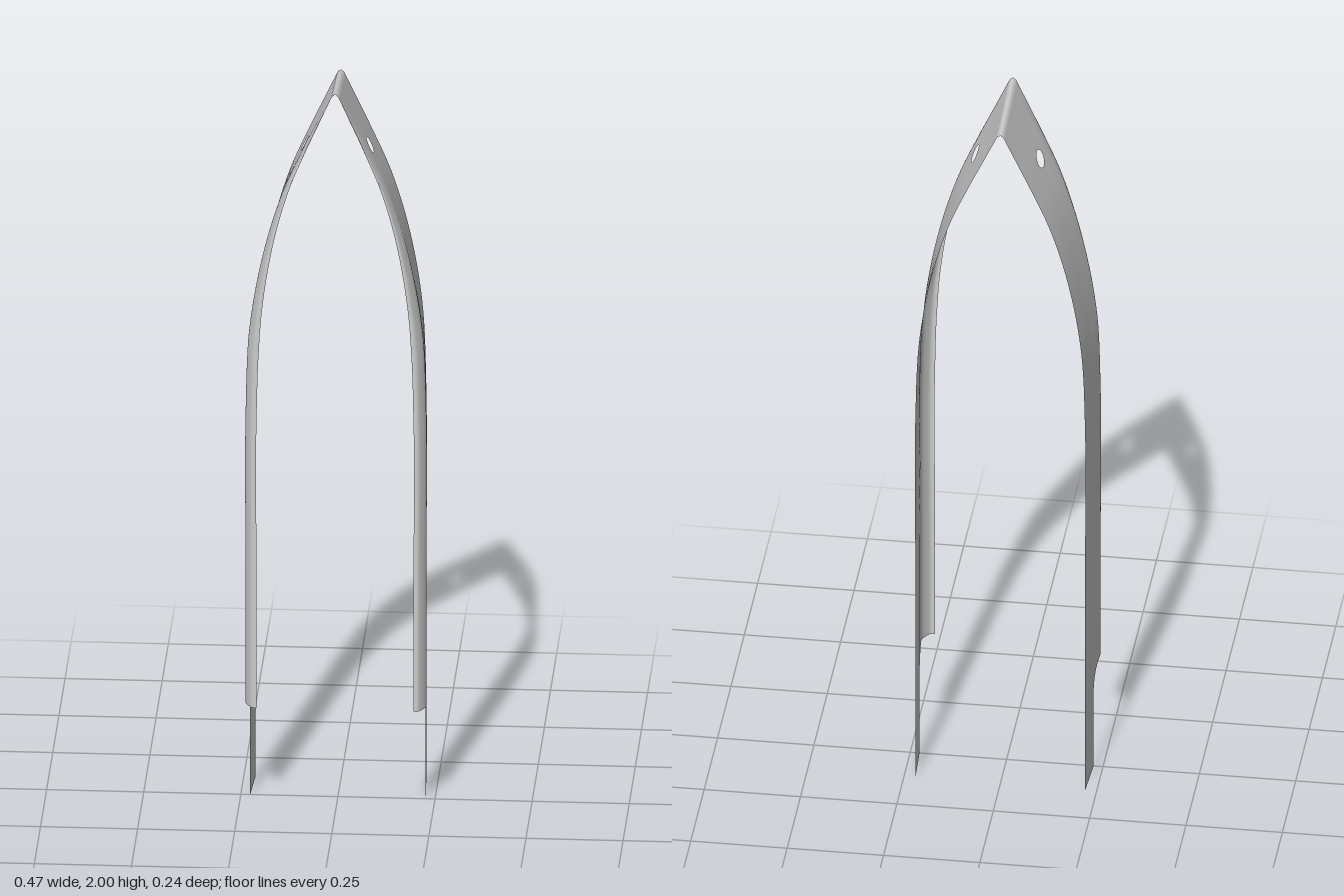
import * as THREE from 'three';
import { mergeGeometries, mergeVertices } from 'three/addons/utils/BufferGeometryUtils.js';

const vec = ([x, y]) => new THREE.Vector3(x, y, 0);
const curve = (pts) => new THREE.CatmullRomCurve3(pts.map(vec));
const { clamp, lerp, smoothstep } = THREE.MathUtils;

// Half of the pointed arch (x, y), from the foot to the ridge
const arch = curve([
  [0.22, 0], [0.22, 0.6], [0.22, 1.1], [0.209, 1.35], [0.175, 1.56], [0.13, 1.72],
  [0.083, 1.833], [0.045, 1.915], [0.017, 1.975], [0.007, 1.995], [0, 2],
]);
arch.arcLengthDivisions = 800;
const LENGTH = arch.getLength();

// Cross-section of the sheet (z, outward offset), with the front edge curled in
const section = curve([
  [-0.12, 0], [-0.06, 0.003], [0, 0.006], [0.06, 0.011], [0.085, 0.012],
  [0.105, 0.003], [0.118, -0.008], [0.118, -0.018],
]);

const COLS = 60, SIDE = 10;
const FOOT = 28 / COLS; // share of the width kept by the foot

// Point on the bent sheet: u runs back to front, s runs up the arch
function sheet(u, s) {
  const p = arch.getPointAt(clamp(s / LENGTH, 0, 1));
  const c = section.getPointAt(clamp(u, 0, 1));
  const fade = 1 - clamp((s - 1.3) / (LENGTH - 1.3), 0, 1);
  const drop = 0.028 * (0.12 - c.x) / 0.24 * smoothstep(s, 1, 1.9);
  return [p.x + c.y * fade, p.y - drop, c.x];
}

// Grid patch; map(i, j) gives [u, s] for i, j in 0..1
function patch(nu, nv, map, mirror) {
  const pos = [], index = [];
  for (let j = 0; j <= nv; j++) {
    for (let i = 0; i <= nu; i++) {
      const [x, y, z] = sheet(...map(i / nu, j / nv));
      pos.push(mirror * x, y, z);
      if (i === nu || j === nv) continue;
      const a = j * (nu + 1) + i, b = a + 1, d = a + nu + 1, c = d + 1;
      if (mirror > 0) index.push(a, d, b, b, d, c);
      else index.push(a, b, d, b, c, d);
    }
  }
  const g = new THREE.BufferGeometry();
  g.setAttribute('position', new THREE.Float32BufferAttribute(pos, 3));
  g.setIndex(index);
  return g;
}

// Lower edge of the sheet: foot shoulder, then a rounded notch
function notch(u) {
  if (u <= FOOT + 1e-6) return 0.23;
  const k = clamp(section.getPointAt(clamp(u, 0, 1)).x / 0.07, 0, 1);
  return 0.23 + 0.06 * Math.sqrt(1 - (1 - k) ** 2);
}

// Band with an oval hole: rings shrink from the band's outline to the hole
const LOW = 1.785, HIGH = 1.92;
const hole = { u: 0.55, s: 1.853, ru: 0.1, rs: 0.022 };
const RING = 2 * (COLS + SIDE);
function outline(n) {
  if (n <= COLS) return [n / COLS, LOW];
  if (n <= COLS + SIDE) return [1, lerp(LOW, HIGH, (n - COLS) / SIDE)];
  if (n <= 2 * COLS + SIDE) return [1 - (n - COLS - SIDE) / COLS, HIGH];
  return [0, lerp(HIGH, LOW, (n - 2 * COLS - SIDE) / SIDE)];
}
function holeBand(i, j) {
  const [u, s] = outline(Math.round(i * RING));
  const a = Math.atan2((s - hole.s) / hole.rs, (u - hole.u) / hole.ru);
  return [
    lerp(u, hole.u + hole.ru * Math.cos(a), j),
    lerp(s, hole.s + hole.rs * Math.sin(a), j),
  ];
}

function halfArch(mirror) {
  return [
    patch(28, 6, (i, j) => [i * FOOT, j * 0.23], mirror),
    patch(COLS, 70, (i, j) => [i, lerp(notch(i), LOW, j)], mirror),
    patch(RING, 10, holeBand, mirror),
    patch(COLS, 20, (i, j) => [i, lerp(HIGH, LENGTH, j)], mirror),
  ];
}

export function createModel() {
  const group = new THREE.Group();
  group.name = 'pointedArch';
  // Both halves welded into one smooth sheet
  const geometry = mergeVertices(mergeGeometries([...halfArch(1), ...halfArch(-1)]), 1e-5);
  geometry.computeVertexNormals();
  const material = new THREE.MeshStandardMaterial({ color: 0xcccccc, side: THREE.DoubleSide });
  const mesh = new THREE.Mesh(geometry, material);
  mesh.name = 'archSheet';
  group.add(mesh);
  return group;
}
